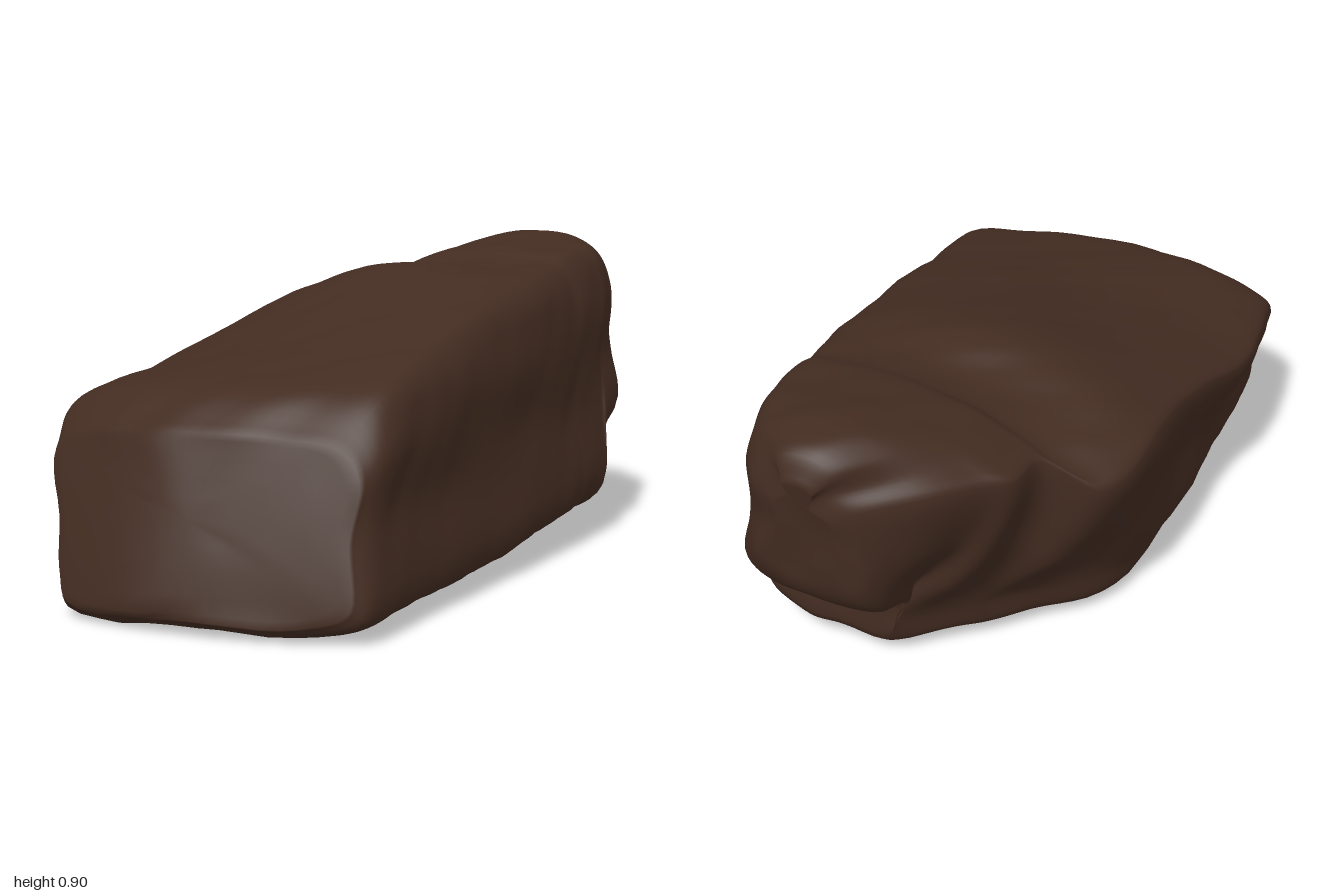
import * as THREE from 'three';

// Cross-sections from front to back:
// zBottom, zTop, xLeftFoot, xLeft, xRight, yBottom, yShoulderLeft, yRidge, xRidge, yShoulderRight
const SECTIONS = [
  [1.0, 0.86, -0.34, -0.44, 0.49, 0.03, 0.45, 0.49, 0, 0.46],
  [0.96, 0.74, -0.36, -0.475, 0.52, 0.005, 0.53, 0.585, 0.1, 0.57],
  [0.75, 0.55, -0.37, -0.505, 0.52, 0.01, 0.55, 0.63, 0.1, 0.625],
  [0.42, 0.36, -0.38, -0.53, 0.515, 0.01, 0.555, 0.67, 0.1, 0.66],
  [0.1, 0.1, -0.38, -0.48, 0.51, 0.02, 0.62, 0.74, 0.05, 0.715],
  [-0.22, -0.22, -0.35, -0.47, 0.51, 0.025, 0.68, 0.83, 0, 0.775],
  [-0.4, -0.4, -0.2, -0.46, 0.505, 0.045, 0.66, 0.81, 0.1, 0.8],
  [-0.5, -0.5, -0.1, -0.41, 0.5, 0.05, 0.65, 0.825, 0.1, 0.81],
  [-0.54, -0.56, -0.06, -0.27, 0.5, 0.055, 0.74, 0.85, 0.12, 0.83],
  [-0.68, -0.68, 0.1, -0.25, 0.495, 0.06, 0.755, 0.865, 0.13, 0.84],
  [-0.695, -0.76, 0.04, -0.19, 0.485, 0.22, 0.765, 0.88, 0.13, 0.845],
  [-0.86, -0.86, 0.03, -0.08, 0.455, 0.31, 0.775, 0.89, 0.14, 0.83],
  [-0.94, -0.96, 0.06, 0.05, 0.38, 0.4, 0.76, 0.86, 0.17, 0.81],
  [-0.96, -1.0, 0.12, 0.13, 0.31, 0.5, 0.72, 0.79, 0.2, 0.76],
];
const AROUND = 84, ALONG = 72;

// Depth of a section at x, y: the front end leans back and its corners curve away
function depthAt([zb, zt, , , , yb, , yr], x, y) {
  const t = Math.max(0, (y - yb) / (yr - yb));
  const curve = 0.25 * (Math.hypot(x + 0.08, 0.1) - 0.1) * Math.max(0, zb) ** 2;
  return zb + (zt - zb) * t ** 1.2 - curve;
}

// Closed outline of one section, counter-clockwise seen from the front
function outline(section) {
  const [zb, , foot, left, right, yb, yl, yr, xr, yt] = section;
  const rear = zb < -0.2, h = yr - yb;
  const b = Math.min(rear ? 0.08 : 0.05, h * 0.12);
  const belly = THREE.MathUtils.lerp(foot, left, rear ? 0.65 : 0.3);
  const pts = [
    [foot + 0.03, yb], [(foot + right) / 2, yb], [right - 0.03 - b, yb + 0.005],
    [right, yb + b], [right - 0.025, yb + h * 0.45], [right - 0.02, yt - h * 0.18],
    [right - 0.075, yt], [(xr + right) / 2, (yr + yt) / 2 + 0.01], [xr, yr],
    [(xr + left) / 2, (yr + yl) / 2 + 0.01], [left + 0.06, yl],
    [left, yl - 0.045], [belly, yb + h * 0.4], [foot - 0.01, yb + b + 0.02],
  ].map(([x, y]) => new THREE.Vector3(x, y, depthAt(section, x, y)));
  const loop = new THREE.CatmullRomCurve3(pts, true, 'centripetal');
  return Array.from({ length: AROUND }, (_, j) => loop.getPoint(j / AROUND));
}

// Soft dents and bumps
const bump = ({ x, y, z }) =>
  0.003 * Math.sin(9 * x + 4 * z + 1) * Math.sin(8 * y - 7 * z) +
  0.003 * Math.sin(17 * z + 6 * y + 2) * Math.cos(15 * x - 9 * y) +
  0.003 * Math.sin(31 * x + 23 * z) * Math.sin(27 * y + 19 * z);

function stoneGeometry() {
  // Smooth the sections along the length
  const loops = SECTIONS.map(outline);
  const columns = loops[0].map((_, j) => new THREE.CatmullRomCurve3(loops.map((l) => l[j]), false, 'centripetal'));
  const body = [];
  for (let i = 0; i <= ALONG; i++) body.push(columns.map((c) => c.getPoint(i / ALONG)));

  // Close both ends with shrinking rings that follow the end faces
  const endFace = (ring, section) => {
    const centre = ring.reduce((s, p) => s.add(p), new THREE.Vector3()).divideScalar(ring.length);
    const settle = (p) => p.setZ(depthAt(section, p.x, p.y));
    const rings = [0.08, 0.25, 0.5, 0.75].map((k) => ring.map((p) => settle(p.clone().lerp(centre, k))));
    return { rings, centre: settle(centre) };
  };
  const front = endFace(body[0], SECTIONS[0]);
  const back = endFace(body[ALONG], SECTIONS[SECTIONS.length - 1]);
  const rings = [...front.rings.reverse(), ...body, ...back.rings];

  // Push the surface in and out
  const verts = [...rings.flat(), front.centre, back.centre];
  const core = new THREE.Vector3();
  for (const p of verts) {
    core.set(0.05, 0.42, THREE.MathUtils.clamp(p.z, -0.75, 0.7));
    const d = bump(p);
    p.add(p.clone().sub(core).normalize().multiplyScalar(d));
  }

  const index = [], last = rings.length - 1, f = verts.length - 2;
  for (let j = 0; j < AROUND; j++) {
    const k = (j + 1) % AROUND;
    index.push(f, j, k, f + 1, last * AROUND + k, last * AROUND + j);
    for (let i = 0; i < last; i++) {
      const a = i * AROUND + j, b = i * AROUND + k;
      index.push(a, a + AROUND, b, b, a + AROUND, b + AROUND);
    }
  }
  const geo = new THREE.BufferGeometry().setFromPoints(verts);
  geo.setIndex(index);

  // Centre it and stand it on the ground
  geo.computeBoundingBox();
  const mid = geo.boundingBox.getCenter(new THREE.Vector3());
  geo.translate(-mid.x, -geo.boundingBox.min.y, -mid.z);
  geo.computeVertexNormals();
  return geo;
}

export function createModel() {
  const group = new THREE.Group();
  group.name = 'rock';
  const brown = new THREE.MeshStandardMaterial({ color: 0x432c21 });
  brown.name = 'dark brown stone';
  const stone = new THREE.Mesh(stoneGeometry(), brown);
  stone.name = 'boulder';
  group.add(stone);
  return group;
}
